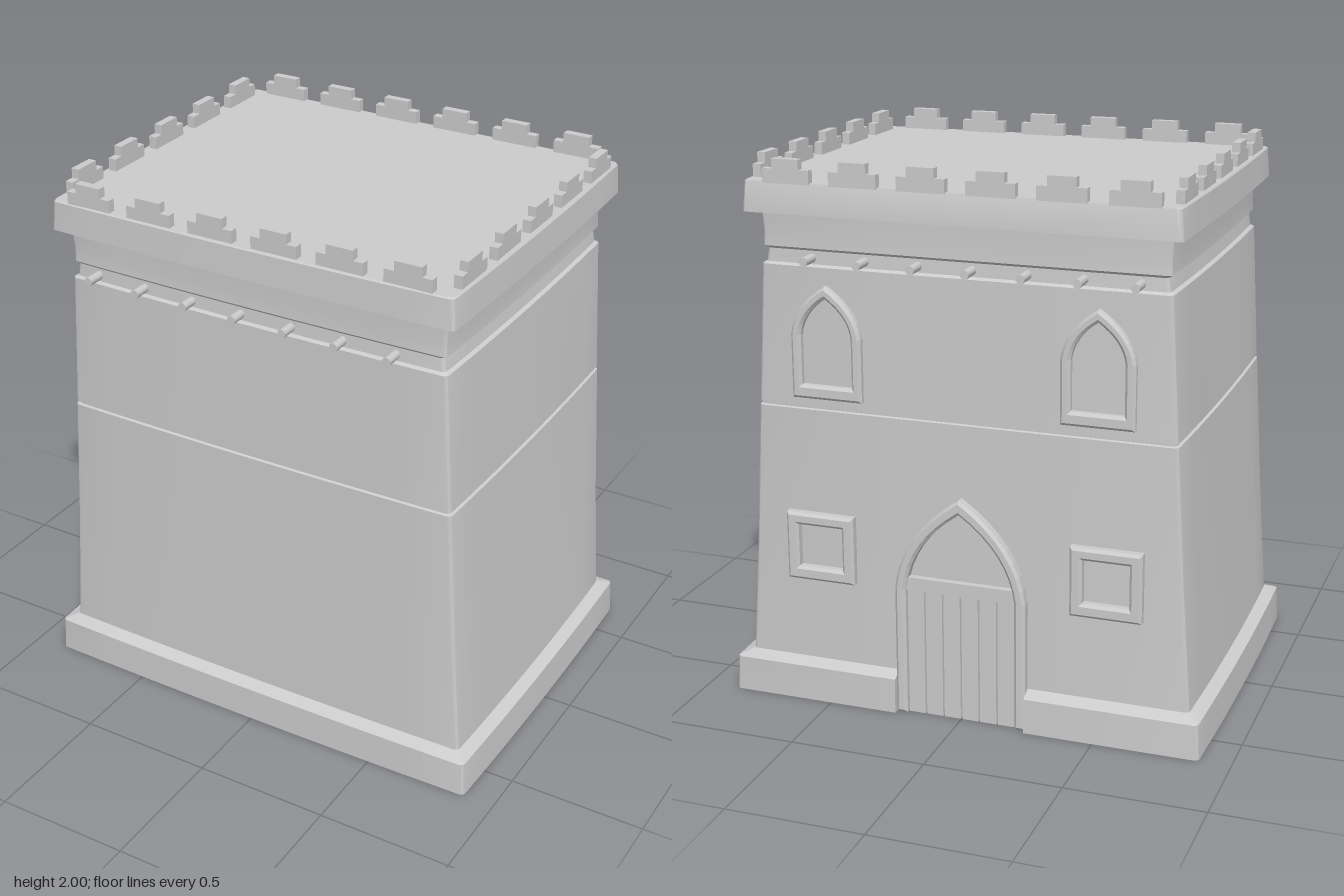
import * as THREE from 'three';
import { toCreasedNormals } from 'three/addons/utils/BufferGeometryUtils.js';

const stone = new THREE.MeshStandardMaterial({ color: 0xcccccc, side: THREE.DoubleSide });
stone.name = 'pale stone';

const DOOR_HALF = 0.245;

// Outline of the tower at one height: bowed sides, rounded corners, a notch for the door
function ring([y, hw, zf, zb, notchZ = zb]) {
  const pts = [], r = 0.018, bow = 0.01, n = 8;
  const corner = (cx, cz, start) => {
    for (let i = 0; i <= 3; i++) {
      const a = start - (i / 3) * Math.PI / 2;
      pts.push([cx + r * Math.cos(a), y, cz + r * Math.sin(a)]);
    }
  };
  const bulge = (t) => bow * 4 * t * (1 - t);
  for (let i = 1; i < n; i++) {
    const t = i / n;
    pts.push([(hw - r) * (2 * t - 1), y, zf + bulge(t)]);
  }
  corner(hw - r, zf - r, Math.PI / 2);
  for (let i = 1; i < n; i++) {
    const t = i / n;
    pts.push([hw + bulge(t), y, zf - r + (zb - zf + 2 * r) * t]);
  }
  corner(hw - r, zb + r, 0);
  pts.push([DOOR_HALF, y, zb], [DOOR_HALF, y, notchZ], [-DOOR_HALF, y, notchZ], [-DOOR_HALF, y, zb]);
  corner(-hw + r, zb + r, -Math.PI / 2);
  for (let i = 1; i < n; i++) {
    const t = i / n;
    pts.push([-hw - bulge(t), y, zb + r + (zf - zb - 2 * r) * t]);
  }
  corner(-hw + r, zf - r, -Math.PI);
  return pts;
}

// Skin between successive outlines, with an optional flat cap on the last one
function loft(levels, cap) {
  const rings = levels.map(ring), n = rings[0].length;
  const pos = rings.flat(2), idx = [];
  for (let i = 0; i < rings.length - 1; i++) {
    for (let j = 0; j < n; j++) {
      const k = (j + 1) % n, a = i * n + j, b = i * n + k;
      idx.push(a, b, b + n, a, b + n, a + n);
    }
  }
  if (cap) {
    const top = (rings.length - 1) * n;
    pos.push(0, levels[levels.length - 1][0], 0);
    for (let j = 0; j < n; j++) idx.push(top + j, top + (j + 1) % n, top + n);
  }
  const g = new THREE.BufferGeometry();
  g.setAttribute('position', new THREE.Float32BufferAttribute(pos, 3));
  g.setIndex(idx);
  return toCreasedNormals(g, 0.5);
}

// Pointed arch, as an outline
function arch(hw, base, spring, apex, Type = THREE.Shape) {
  const s = new Type();
  const c = spring + (apex - spring) * 0.58;
  s.moveTo(-hw, base);
  s.lineTo(hw, base);
  s.lineTo(hw, spring);
  s.quadraticCurveTo(hw * 0.9, c, 0, apex);
  s.quadraticCurveTo(-hw * 0.9, c, -hw, spring);
  s.closePath();
  return s;
}

function rect(hw, y0, y1, Type = THREE.Shape) {
  const s = new Type();
  s.moveTo(-hw, y0);
  s.lineTo(hw, y0);
  s.lineTo(hw, y1);
  s.lineTo(-hw, y1);
  s.closePath();
  return s;
}

const frameGeometry = (shape, depth) => new THREE.ExtrudeGeometry(shape, {
  depth: depth - 0.01, curveSegments: 8, bevelEnabled: true,
  bevelThickness: 0.01, bevelSize: 0.01, bevelOffset: -0.01, bevelSegments: 1,
});

export function createModel() {
  const model = new THREE.Group();
  const add = (name, geometry, parent = model, x = 0, y = 0, z = 0) => {
    const m = new THREE.Mesh(geometry, stone);
    m.name = name;
    m.position.set(x, y, z);
    parent.add(m);
    return m;
  };

  // Plinth, hollow and open below, cut away at the door
  add('plinth', loft([
    [0, 0.885, 0.66, -0.668, -0.615],
    [0.13, 0.878, 0.658, -0.666, -0.615],
    [0.15, 0.835, 0.614, -0.617, -0.615],
  ]));

  // Tapering walls with a thin groove at mid height and a string course
  add('walls', loft([
    [0.15, 0.835, 0.614, -0.617],
    [0.6, 0.803, 0.611, -0.615],
    [1.103, 0.773, 0.608, -0.614],
    [1.106, 0.763, 0.598, -0.604],
    [1.114, 0.763, 0.598, -0.604],
    [1.117, 0.771, 0.608, -0.614],
    [1.62, 0.742, 0.605, -0.611],
    [1.628, 0.73, 0.595, -0.6],
    [1.675, 0.722, 0.592, -0.597],
    [1.685, 0.736, 0.602, -0.61],
    [1.73, 0.734, 0.6, -0.608],
    [1.815, 0.74, 0.604, -0.61],
  ]));

  // Cornice and flat roof
  add('corniceAndRoof', loft([
    [1.812, 0.735, 0.6, -0.605],
    [1.81, 0.784, 0.648, -0.662],
    [1.915, 0.776, 0.643, -0.657],
    [1.92, 0.772, 0.638, -0.655],
  ], true));

  // Stepped battlements
  const step = new THREE.Shape();
  [[-0.087, 0], [0.087, 0], [0.087, 0.05], [0.05, 0.05], [0.05, 0.085],
    [-0.05, 0.085], [-0.05, 0.05], [-0.087, 0.05]]
    .forEach(([x, y], i) => (i ? step.lineTo(x, y) : step.moveTo(x, y)));
  const merlon = new THREE.ExtrudeGeometry(step, { depth: 0.03, bevelEnabled: false });
  merlon.translate(0, 0, -0.015);
  for (let i = 0; i < 6; i++) {
    for (const z of [0.626, -0.648]) add('merlon', merlon, model, -0.622 + i * 0.247, 1.915, z);
  }
  for (let i = 0; i < 5; i++) {
    for (const x of [0.753, -0.753]) {
      add('merlon', merlon, model, x, 1.915, -0.508 + i * 0.248).rotation.y = Math.PI / 2;
    }
  }

  // Round beam ends along front and back
  const peg = new THREE.CylinderGeometry(0.016, 0.016, 0.09, 10);
  peg.rotateX(Math.PI / 2);
  for (let i = 0; i < 7; i++) {
    for (const z of [0.617, -0.628]) add('beamEnd', peg, model, -0.63 + i * 0.197, 1.65, z);
  }

  // Everything on the back wall is built facing +z, then turned round
  const facade = new THREE.Group();
  facade.name = 'doorFacade';
  facade.rotation.y = Math.PI;
  model.add(facade);

  // Door: arched surround, lintel and planks
  const surround = new THREE.Shape();
  surround.moveTo(-DOOR_HALF, 0);
  surround.lineTo(-DOOR_HALF, 0.48);
  surround.quadraticCurveTo(-0.225, 0.69, 0, 0.84);
  surround.quadraticCurveTo(0.225, 0.69, DOOR_HALF, 0.48);
  surround.lineTo(DOOR_HALF, 0);
  surround.lineTo(0.205, 0);
  surround.lineTo(0.205, 0.48);
  surround.quadraticCurveTo(0.185, 0.66, 0, 0.785);
  surround.quadraticCurveTo(-0.185, 0.66, -0.205, 0.48);
  surround.lineTo(-0.205, 0);
  surround.closePath();
  add('doorSurround', frameGeometry(surround, 0.055), facade, 0, 0, 0.6);
  add('doorLintel', new THREE.BoxGeometry(0.41, 0.05, 0.04), facade, 0, 0.5, 0.62);
  const plank = new THREE.BoxGeometry(0.062, 0.475, 0.03);
  for (let i = 0; i < 6; i++) add('doorPlank', plank, facade, (i - 2.5) * 0.068, 0.2375, 0.62);

  // Square lower windows and pointed upper windows, mirrored about the door
  const square = rect(0.13, 0.465, 0.72);
  square.holes.push(rect(0.085, 0.515, 0.675, THREE.Path));
  const pointed = arch(0.132, 1.15, 1.38, 1.56);
  pointed.holes.push(arch(0.095, 1.2, 1.38, 1.515, THREE.Path));
  for (const side of [-1, 1]) {
    add('lowerWindowFrame', frameGeometry(square, 0.055), facade, side * 0.535, 0, 0.595);
    add('upperWindowFrame', frameGeometry(pointed, 0.045), facade, side * 0.495, 0, 0.595);
  }
  return model;
}
